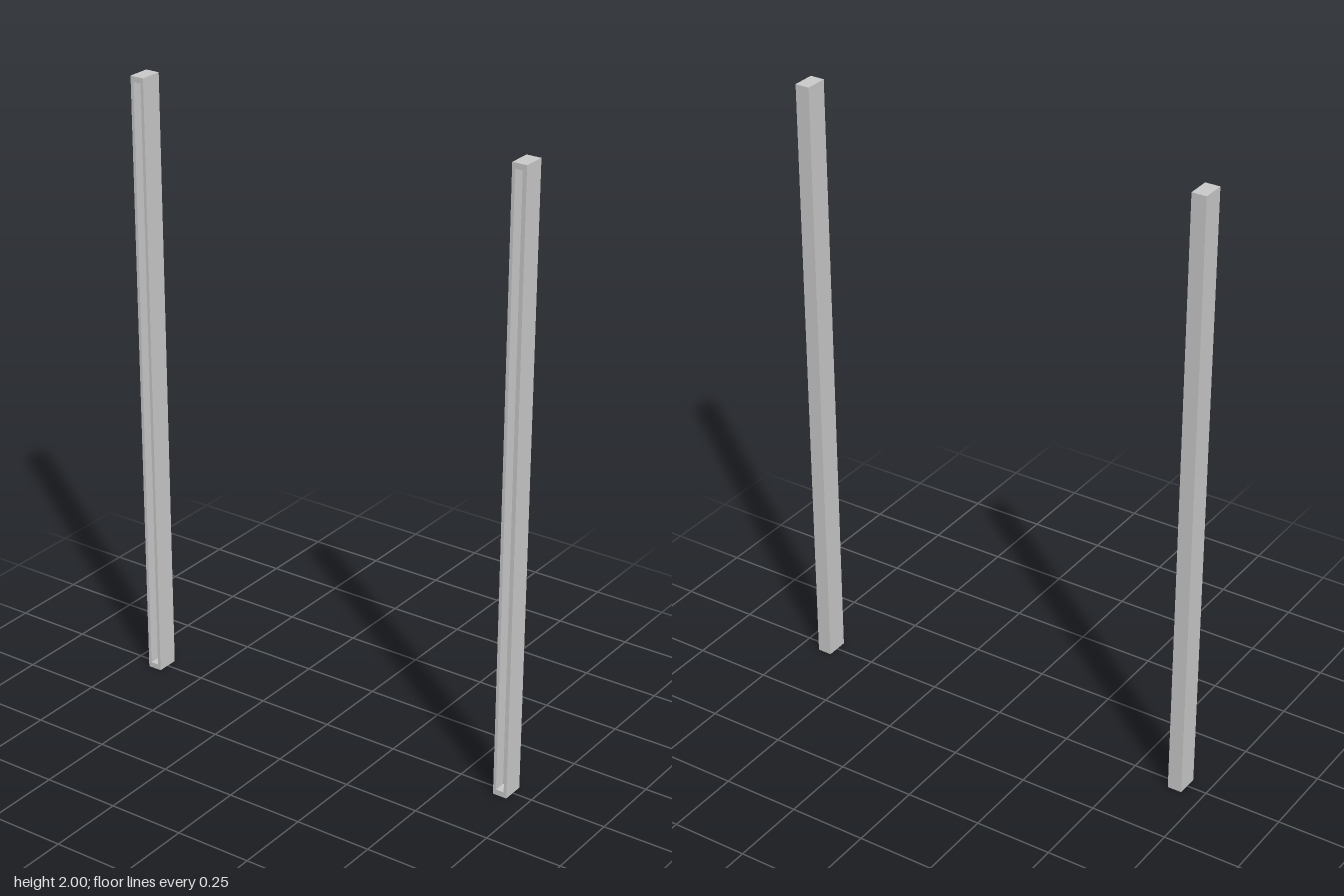
import * as THREE from 'three';

const W = 0.047, H = 2, D = 0.074;   // outer size of one post
const X = 0.661;                     // post centre from the middle
const WALL = 0.01, END = 0.018;      // rim around the front channel
const DEPTH = 0.04;                  // depth of the channel

function rectangle(PathType, w, y0, y1) {
  const p = new PathType();
  p.moveTo(-w / 2, y0);
  p.lineTo(w / 2, y0);
  p.lineTo(w / 2, y1);
  p.lineTo(-w / 2, y1);
  p.closePath();
  return p;
}

function createPost(name, x, material) {
  const post = new THREE.Group();
  post.name = name;

  // Rim with the long closed-ended channel cut through it
  const outline = rectangle(THREE.Shape, W, 0, H);
  outline.holes.push(rectangle(THREE.Path, W - 2 * WALL, END, H - END));
  const rim = new THREE.Mesh(
    new THREE.ExtrudeGeometry(outline, { depth: DEPTH, bevelEnabled: false }), material);
  rim.name = 'channelRim';
  rim.position.z = D / 2 - DEPTH;

  // Solid back that forms the channel's floor
  const back = new THREE.Mesh(new THREE.BoxGeometry(W, H, D - DEPTH), material);
  back.name = 'postBack';
  back.position.set(0, H / 2, -DEPTH / 2);

  post.add(rim, back);
  post.position.x = x;
  return post;
}

export function createModel() {
  const model = new THREE.Group();
  model.name = 'channelPosts';
  const material = new THREE.MeshStandardMaterial({ color: 0xcccccc });
  model.add(createPost('leftPost', X, material), createPost('rightPost', -X, material));
  return model;
}
